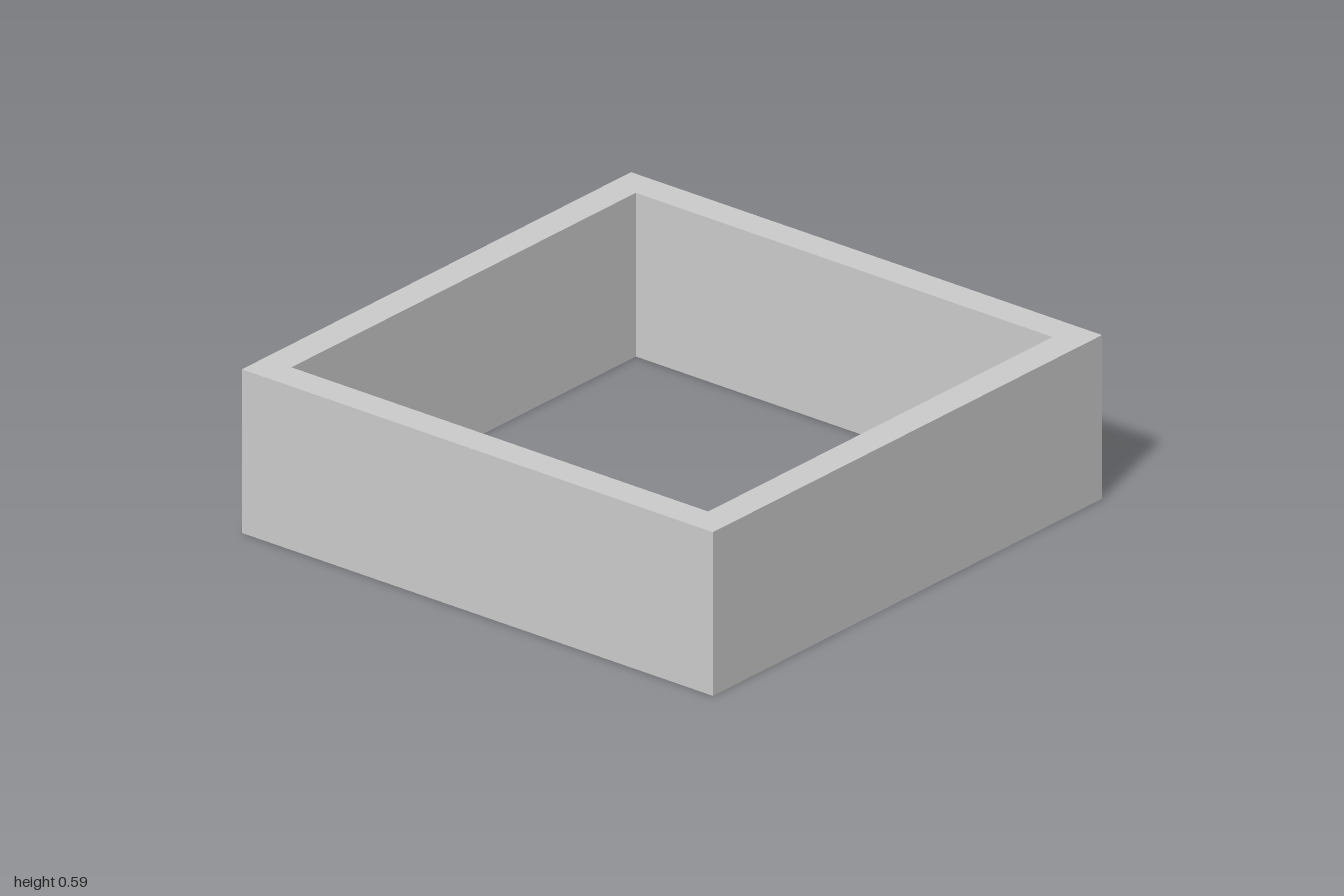
import * as THREE from 'three';

const HEIGHT = 0.59, OUTER = 1, INNER = 0.885, HALF_PLATE = 0.295;

const material = new THREE.MeshStandardMaterial({
  color: 0xcccccc, flatShading: true, side: THREE.DoubleSide,
});

// Square band swept from one [half-width, height] pair to the next
function squareBand(name, from, to) {
  const points = [from, to].map(([half, y]) => new THREE.Vector2(half * Math.SQRT2, y));
  const mesh = new THREE.Mesh(new THREE.LatheGeometry(points, 4, Math.PI / 4), material);
  mesh.name = name;
  return mesh;
}

export function createModel() {
  const group = new THREE.Group();
  group.name = 'squareFrame';

  // Hollow double wall, capped on top and open underneath
  group.add(
    squareBand('outerWalls', [OUTER, 0], [OUTER, HEIGHT]),
    squareBand('topRim', [OUTER, HEIGHT], [INNER, HEIGHT]),
    squareBand('innerWalls', [INNER, HEIGHT], [INNER, 0]),
  );

  // Thin floor plate reaching inward from the front wall
  const depth = INNER - HALF_PLATE;
  const plate = new THREE.Mesh(
    new THREE.PlaneGeometry(2 * HALF_PLATE, depth).rotateX(-Math.PI / 2), material);
  plate.position.z = INNER - depth / 2;
  plate.name = 'floorPlate';
  group.add(plate);

  return group;
}
